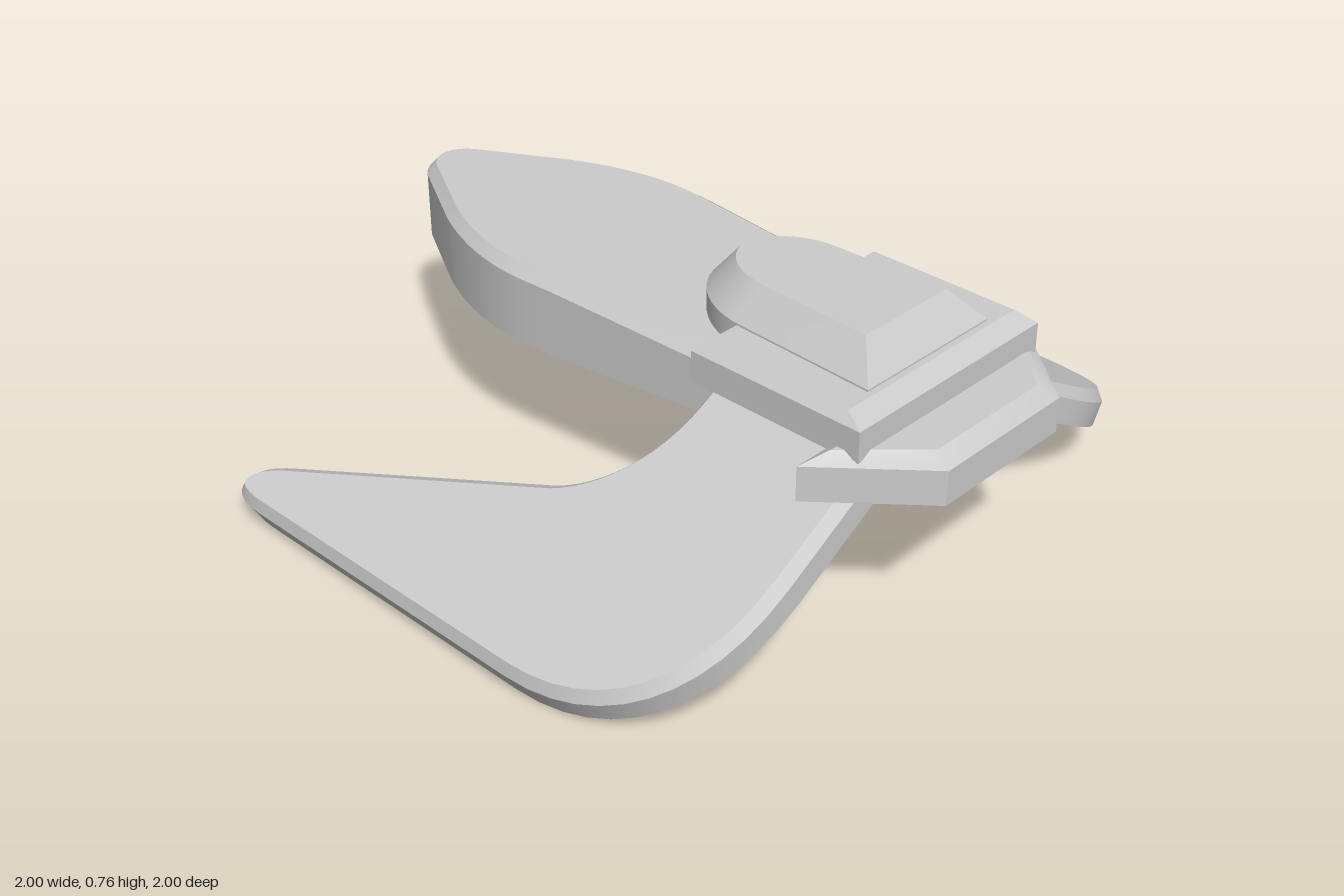
import * as THREE from 'three';
import { toCreasedNormals } from 'three/addons/utils/BufferGeometryUtils.js';

const material = new THREE.MeshStandardMaterial({ color: 0xcccccc });

// Insets a counter-clockwise outline by d with mitred corners.
function inset(pts, d) {
  const n = pts.length;
  return pts.map((p, i) => {
    const u = p.clone().sub(pts[(i + n - 1) % n]).normalize();
    const v = pts[(i + 1) % n].clone().sub(p).normalize();
    const m = new THREE.Vector2(-u.y - v.y, u.x + v.x);
    return p.clone().addScaledVector(m, d / Math.max(0.5, 1 + u.dot(v)));
  });
}

// Flat-bottomed slab: upright wall to wallTop, then a chamfer inset to top.
// Outline coordinates are (x, z).
function plate(outline, bottom, wallTop, top, chamfer) {
  let pts = outline.map((p) => new THREE.Vector2(p.x, -p.y));
  if (pts[0].distanceTo(pts[pts.length - 1]) < 1e-5) pts.pop();
  if (THREE.ShapeUtils.isClockWise(pts)) pts.reverse();
  const top2 = inset(pts, chamfer);
  const rings = [[pts, bottom], [pts, wallTop], [top2, top]];
  const pos = [];
  const put = ([ring, y], i) => pos.push(ring[i].x, y, -ring[i].y);
  for (let r = 0; r < 2; r++) {
    for (let i = 0; i < pts.length; i++) {
      const j = (i + 1) % pts.length, a = rings[r], b = rings[r + 1];
      put(a, i); put(a, j); put(b, j);
      put(a, i); put(b, j); put(b, i);
    }
  }
  for (const [a, b, c] of THREE.ShapeUtils.triangulateShape(pts, [])) {
    put(rings[0], a); put(rings[0], c); put(rings[0], b);
    put(rings[2], a); put(rings[2], b); put(rings[2], c);
  }
  const geo = new THREE.BufferGeometry();
  geo.setAttribute('position', new THREE.Float32BufferAttribute(pos, 3));
  return geo;
}

function part(name, geo) {
  const mesh = new THREE.Mesh(toCreasedNormals(geo, 0.4), material);
  mesh.name = name;
  return mesh;
}

// Mirrors half an outline across z = 0.
function mirrored(half) {
  const other = half.filter((p) => Math.abs(p.y) > 1e-5).reverse();
  return [...half, ...other.map((p) => new THREE.Vector2(p.x, -p.y))];
}

const points = (list) => list.map(([x, z]) => new THREE.Vector2(x, z));

// Leaf-shaped body, nose towards -x, slimming towards the tail.
function fuselage() {
  const s = new THREE.Shape();
  s.moveTo(-1, 0);
  s.bezierCurveTo(-1, 0.035, -0.98, 0.07, -0.94, 0.095);
  s.lineTo(-0.7, 0.23);
  s.bezierCurveTo(-0.56, 0.3, -0.42, 0.335, -0.28, 0.325);
  s.lineTo(-0.2, 0.32);
  s.lineTo(0.64, 0.265);
  const geo = plate(mirrored(s.getPoints(10)), 0.41, 0.6, 0.63, 0.027);
  const p = geo.attributes.position;
  for (let i = 0; i < p.count; i++) {
    const t = Math.max(0, p.getX(i) + 0.2);
    p.setY(i, p.getY(i) + t * (p.getY(i) < 0.5 ? 0.06 : -0.035));
  }
  return part('fuselage', geo);
}

// Forward-swept wing drooping 30 degrees; side is +1 or -1 along z.
function wing(side) {
  const s = new THREE.Shape();
  s.moveTo(0.32, 0.15);
  s.lineTo(0.315, 0.27);
  s.bezierCurveTo(0.31, 0.42, 0.22, 0.525, 0.12, 0.57);
  s.lineTo(-0.61, 0.84);
  s.bezierCurveTo(-0.68, 0.868, -0.705, 0.89, -0.705, 0.925);
  s.bezierCurveTo(-0.705, 0.955, -0.66, 0.965, -0.58, 0.965);
  s.lineTo(0.35, 0.965);
  s.bezierCurveTo(0.66, 0.965, 0.83, 0.8, 0.83, 0.52);
  s.lineTo(0.83, 0.15);
  const droop = Math.PI / 6;
  const outline = s.getPoints(12)
    .map((p) => new THREE.Vector2(p.x, side * p.y / Math.cos(droop)));
  const geo = plate(outline, 0, 0.07, 0.1, 0.025);
  geo.rotateX(side * droop).translate(0, 0.562, 0);
  return part(side > 0 ? 'wingFrontSide' : 'wingBackSide', geo);
}

// Raised block over the wing roots, with a longer slope at the rear.
function deck() {
  const geo = plate(points([[0.32, 0.34], [0.84, 0.34], [0.84, -0.34], [0.32, -0.34]]),
    0.56, 0.645, 0.67, 0.025);
  const p = geo.attributes.position;
  for (let i = 0; i < p.count; i++) {
    if (p.getY(i) > 0.66 && p.getX(i) > 0.5) p.setX(i, 0.785);
  }
  return part('deck', geo);
}

// Canopy with a rounded nose and a flat back.
function canopy() {
  const s = new THREE.Shape();
  s.moveTo(0.112, 0);
  s.bezierCurveTo(0.112, 0.1, 0.22, 0.205, 0.36, 0.208);
  s.lineTo(0.768, 0.226);
  return part('canopy', plate(mirrored(s.getPoints(12)), 0.6, 0.675, 0.76, 0.072));
}

// Angular tail block.
function tail() {
  return part('tailBlock', plate(
    mirrored(points([[0.74, 0.437], [1, 0.215]])), 0.46, 0.555, 0.58, 0.05));
}

export function createModel() {
  const model = new THREE.Group();
  model.name = 'glider';
  model.add(fuselage(), wing(1), wing(-1), deck(), canopy(), tail());
  return model;
}
